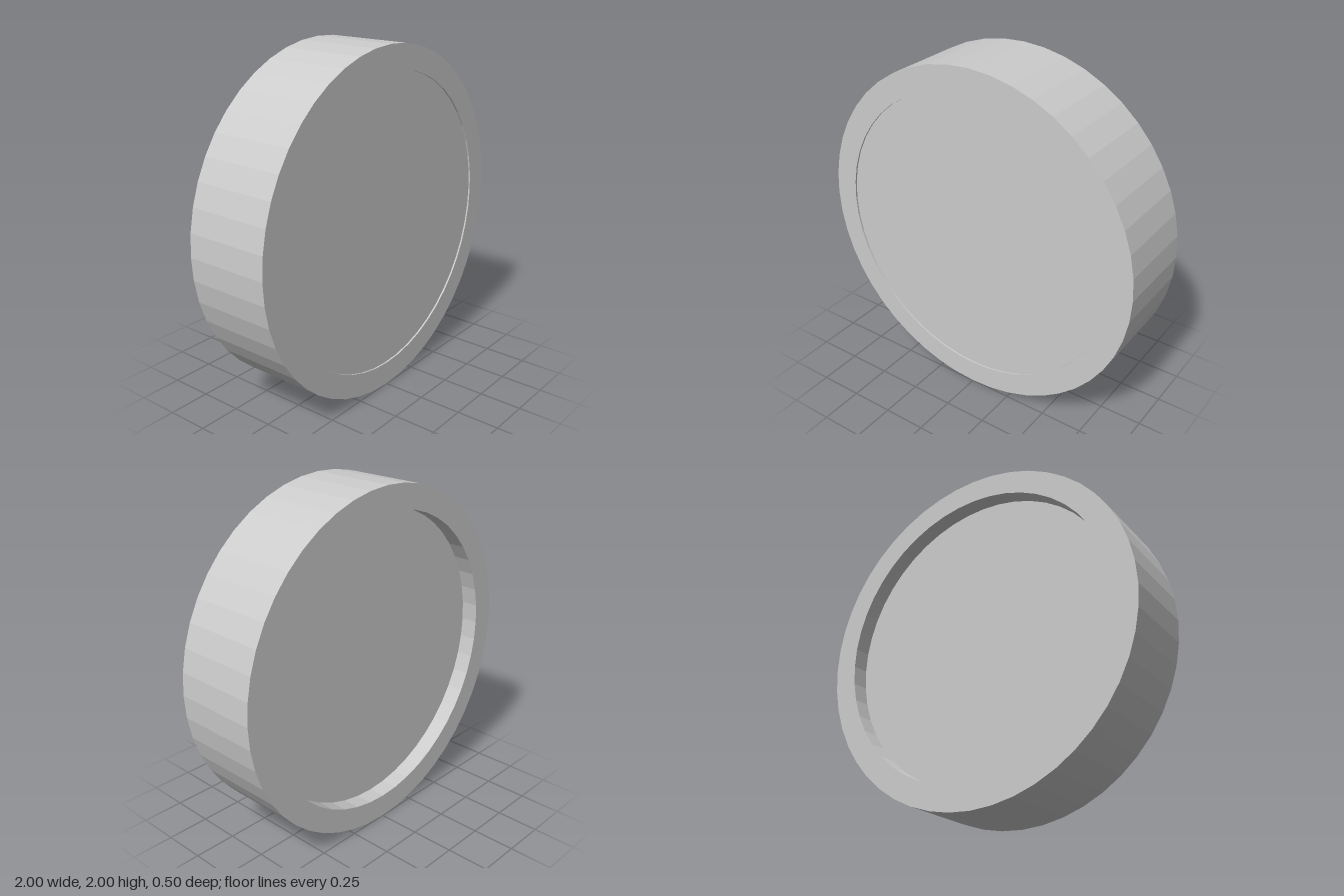
import * as THREE from 'three';

const SIDES = 48;
const OUTER = 1;
const INNER = 0.86;
const HALF_DEPTH = 0.25;
const DISC_FRONT = 0.24; // nearly flush with the rim
const DISC_BACK = -0.15; // recessed behind the rim

export function createModel() {
  const material = new THREE.MeshStandardMaterial({ color: 0xcccccc, flatShading: true });
  const group = new THREE.Group();
  group.name = 'roundDisc';

  const add = (name, geometry, z) => {
    geometry.rotateX(Math.PI / 2); // turn the axis from y to z
    const mesh = new THREE.Mesh(geometry, material);
    mesh.name = name;
    mesh.position.set(0, OUTER, z);
    group.add(mesh);
  };

  // Outer rim: a rectangular section swept round the axis
  const section = [
    [INNER, -HALF_DEPTH],
    [OUTER, -HALF_DEPTH],
    [OUTER, HALF_DEPTH],
    [INNER, HALF_DEPTH],
    [INNER, -HALF_DEPTH],
  ].map(([r, d]) => new THREE.Vector2(r, d));
  add('rim', new THREE.LatheGeometry(section, SIDES), 0);

  // Solid centre filling the rim
  add(
    'centreDisc',
    new THREE.CylinderGeometry(INNER, INNER, DISC_FRONT - DISC_BACK, SIDES),
    (DISC_FRONT + DISC_BACK) / 2,
  );

  return group;
}
